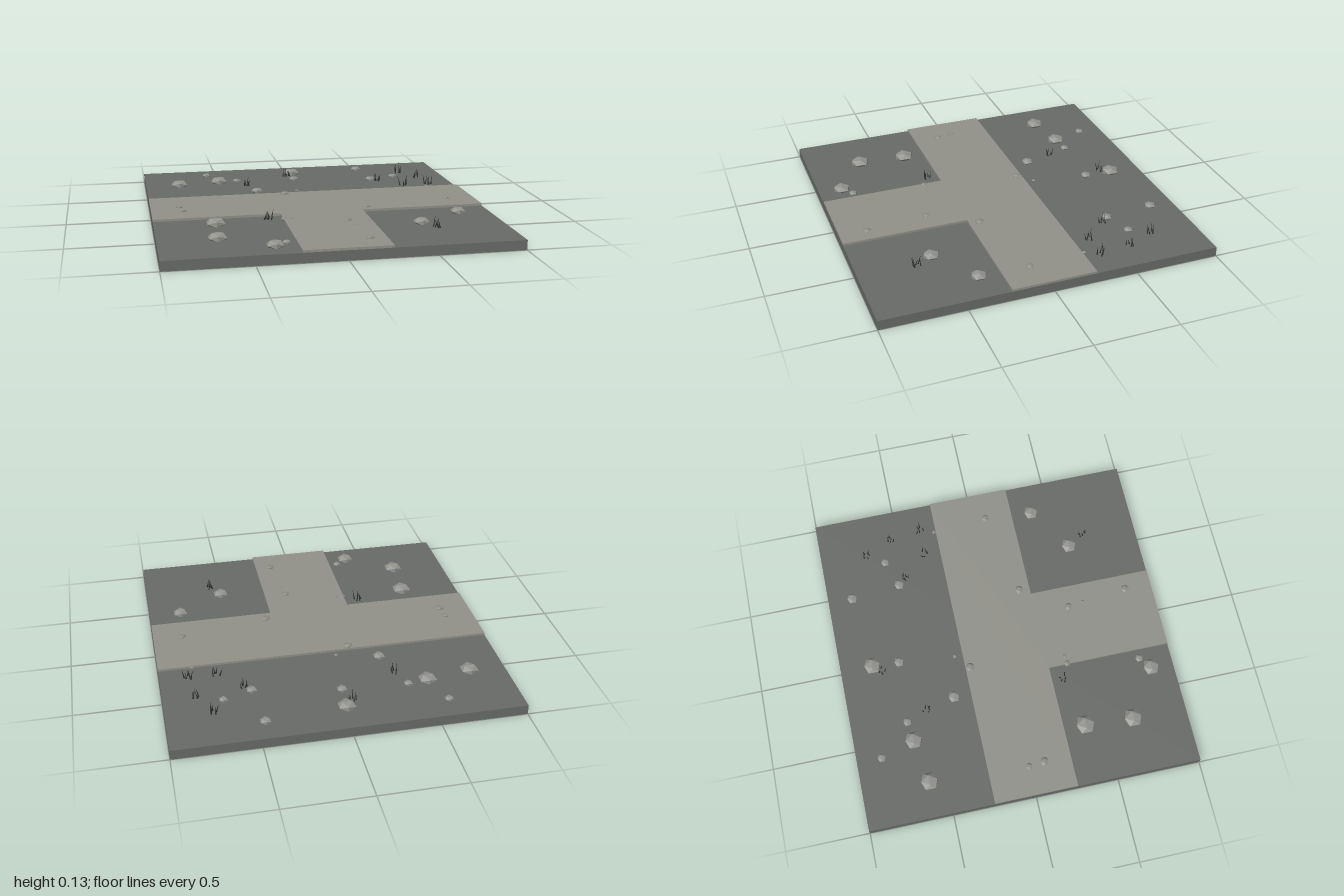
import * as THREE from 'three';

const GROUND_Y = 0.058, PATH_Y = 0.072;

export function createModel() {
  const model = new THREE.Group();
  const mat = (name, color) => {
    const m = new THREE.MeshStandardMaterial({ color });
    m.name = name;
    return m;
  };
  const ground = mat('ground grey', 0x686b67);
  const paving = mat('path grey', 0x92928b);
  const stone = mat('stone grey', 0x94948f);
  const pebbleGrey = mat('pebble grey', 0x8e8e88);
  const grass = mat('dark grass', 0x30342f);

  const add = (parent, name, geometry, material) => {
    const mesh = new THREE.Mesh(geometry, material);
    mesh.name = name;
    parent.add(mesh);
    return mesh;
  };

  // Square ground slab
  add(model, 'groundSlab', new THREE.BoxGeometry(2, GROUND_Y, 2), ground).position.y = GROUND_Y / 2;

  // T-shaped path raised slightly above the ground
  const t = new THREE.Shape([
    [-1, 0.25], [1, 0.25], [1, -0.25], [0.25, -0.25],
    [0.25, -1], [-0.25, -1], [-0.25, -0.25], [-1, -0.25],
  ].reverse().map(([x, y]) => new THREE.Vector2(x, y)));
  const pathGeo = new THREE.ExtrudeGeometry(t, { depth: PATH_Y - GROUND_Y, bevelEnabled: false });
  pathGeo.rotateX(-Math.PI / 2);
  add(model, 'path', pathGeo, paving).position.y = GROUND_Y;

  // Flattened faceted stones: x, z, radius
  const scatter = (groupName, name, list, material, baseY, squash, lift) => {
    const group = new THREE.Group();
    group.name = groupName;
    const geo = new THREE.IcosahedronGeometry(1, 0);
    for (const [x, z, r] of list) {
      const mesh = add(group, name, geo, material);
      mesh.position.set(x, baseY + r * lift, z);
      mesh.scale.set(r, r * squash, r);
    }
    model.add(group);
  };
  scatter('rocks', 'rock', [
    [-0.005, -0.805, 0.056], [-0.785, -0.6, 0.057], [-0.52, -0.645, 0.057],
    [-0.4, -0.66, 0.028], [-0.585, -0.85, 0.028], [-0.015, -0.64, 0.033],
    [0.46, -0.85, 0.035], [0.49, -0.545, 0.034], [0.66, -0.605, 0.028],
    [-0.305, -0.355, 0.038], [-0.645, 0.38, 0.062], [-0.665, 0.67, 0.06],
    [-0.375, 0.86, 0.054], [-0.305, 0.805, 0.026], [0.525, 0.56, 0.05],
    [0.805, 0.375, 0.048],
  ], stone, GROUND_Y, 0.5, 0.22);
  scatter('pathPebbles', 'pebble', [
    [-0.145, -0.22, 0.03], [-0.825, -0.005, 0.022], [-0.815, 0.09, 0.028],
    [0.825, 0.08, 0.025], [0.29, 0.185, 0.029], [0.115, 0.46, 0.025],
    [0.155, 0.835, 0.028], [-0.2, 0.36, 0.014], [0.13, 0.555, 0.01],
  ], pebbleGrey, PATH_Y, 0.45, 0.05);
  scatter('edgePebbles', 'pebble', [
    [-0.245, 0.365, 0.02], [-0.055, -0.3, 0.013], [0.8, -0.26, 0.014],
  ], pebbleGrey, GROUND_Y + 0.01, 0.5, 0.1);

  // Grass tufts: small clusters of leaning, tapered blades
  let seed = 7;
  const rand = () => (seed = (seed * 16807) % 2147483647) / 2147483647;
  const tufts = [
    [-0.05, -0.75], [-0.35, -0.53], [0.73, -0.71], [0.805, -0.55], [0.525, -0.5],
    [0.665, -0.35], [0.835, -0.35], [-0.335, 0.32], [0.585, 0.66],
  ];
  const bladeGeo = new THREE.ConeGeometry(0.0045, 1, 4);
  bladeGeo.translate(0, 0.5, 0);
  for (const [x, z] of tufts) {
    const tuft = new THREE.Group();
    tuft.name = 'grassTuft';
    tuft.position.set(x, GROUND_Y, z);
    for (let i = 0; i < 5; i++) {
      const blade = add(tuft, 'grassBlade', bladeGeo, grass);
      const a = i * 1.257 + rand();
      const d = 0.008 + 0.018 * rand();
      blade.position.set(Math.cos(a) * d, 0, Math.sin(a) * d);
      blade.scale.y = 0.04 + 0.032 * rand();
      blade.rotation.set((rand() - 0.5) * 0.6, 0, (rand() - 0.5) * 0.6);
    }
    model.add(tuft);
  }

  // Faceted look throughout
  for (const m of [ground, paving, stone, pebbleGrey, grass]) m.flatShading = true;
  return model;
}
